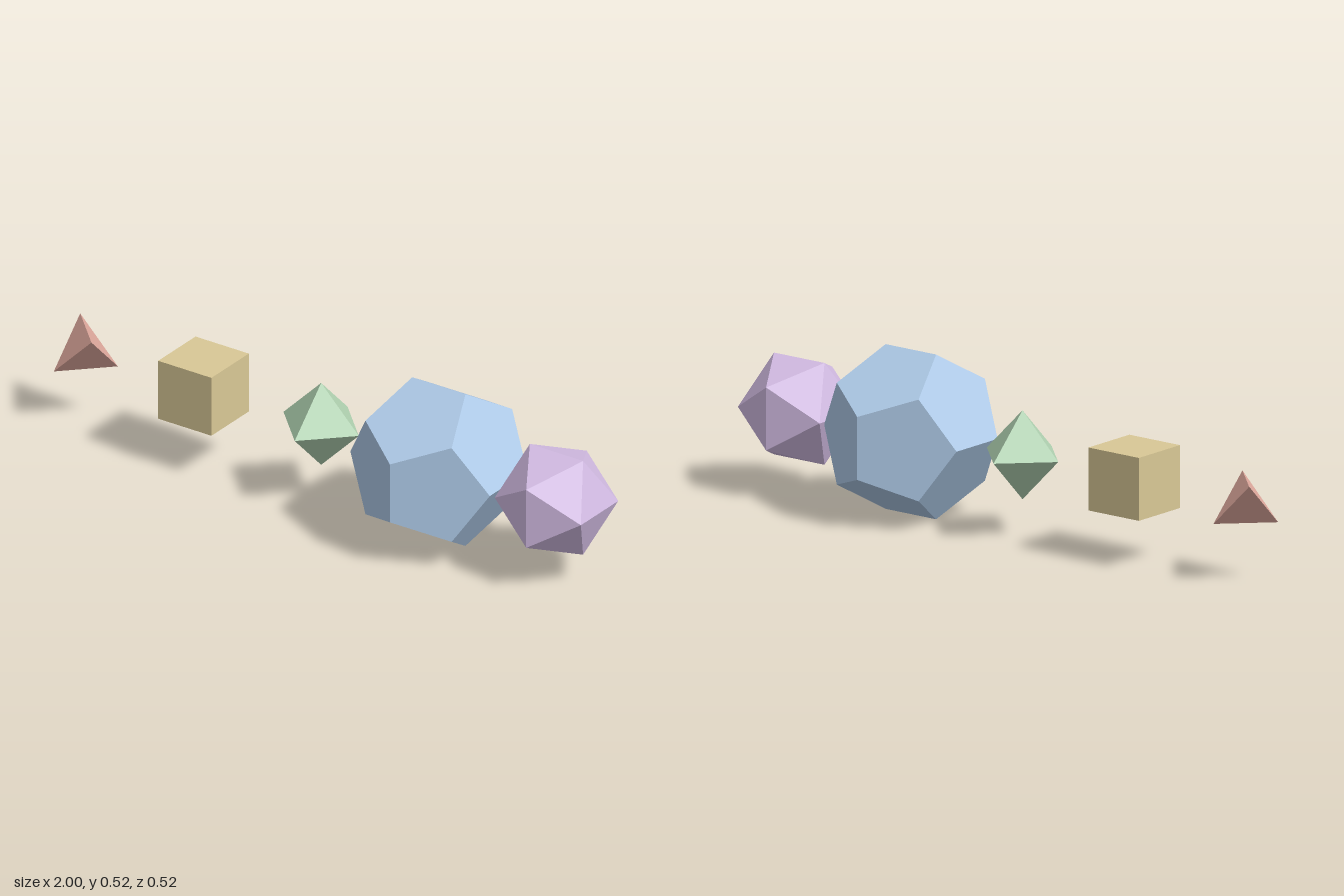
import * as THREE from 'three';

// The five regular solids in a row, all with the same edge length.
const EDGE = 0.2;
const PHI = (1 + Math.sqrt(5)) / 2;
const CENTRE_Y = EDGE * PHI * PHI / 2; // the dodecahedron touches the ground
const FIRST_X = -1 + EDGE * Math.SQRT1_2 / 2;
const LAST_X = 1 - EDGE * PHI / 2;

export function createModel() {
  const group = new THREE.Group();
  group.name = 'regularSolids';

  // Circumradius is derived from the shared edge length.
  const solids = [
    ['tetrahedron', new THREE.TetrahedronGeometry(EDGE * Math.sqrt(6) / 4), 0xe0aa9e],
    ['cube', new THREE.BoxGeometry(EDGE, EDGE, EDGE), 0xd9c896],
    ['octahedron', new THREE.OctahedronGeometry(EDGE * Math.SQRT1_2), 0xb2d4b3],
    ['dodecahedron', new THREE.DodecahedronGeometry(EDGE * Math.sqrt(3) * PHI / 2), 0xafcbe9],
    ['icosahedron', new THREE.IcosahedronGeometry(EDGE * Math.sqrt(PHI * PHI + 1) / 2), 0xd3bce4],
  ];

  // Evenly spaced centres along x
  solids.forEach(([name, geometry, color], i) => {
    const material = new THREE.MeshStandardMaterial({ color, flatShading: true });
    const mesh = new THREE.Mesh(geometry, material);
    mesh.name = name;
    mesh.position.set(THREE.MathUtils.lerp(FIRST_X, LAST_X, i / (solids.length - 1)), CENTRE_Y, 0);
    group.add(mesh);
  });

  return group;
}
